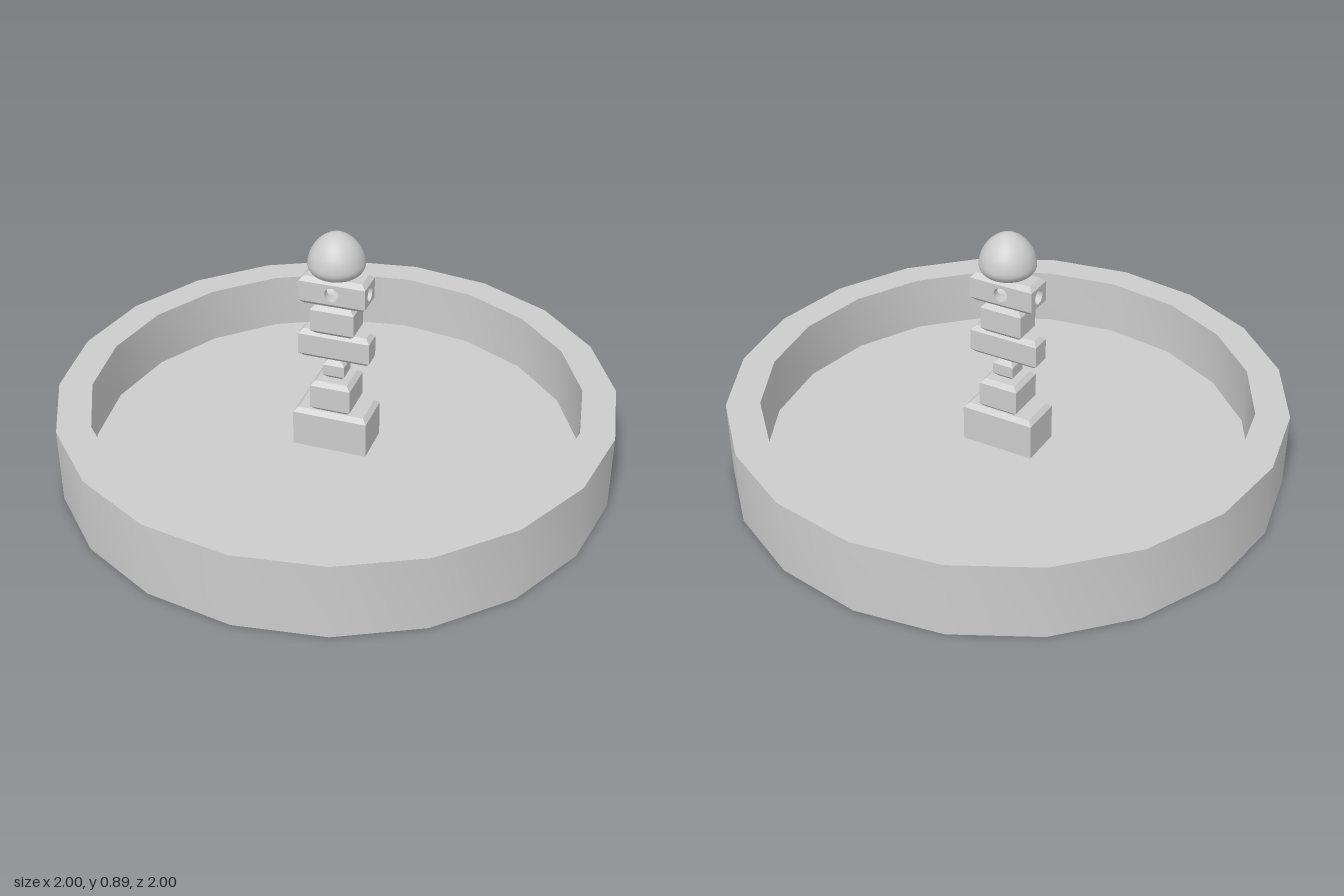
import * as THREE from 'three';
import { toCreasedNormals } from 'three/addons/utils/BufferGeometryUtils.js';

const material = new THREE.MeshStandardMaterial({ color: 0xcccccc });
const BEVEL = 0.016;

function addMesh(parent, name, geometry) {
  const mesh = new THREE.Mesh(geometry, material);
  mesh.name = name;
  parent.add(mesh);
  return mesh;
}

function rectangle(hw, hh) {
  return new THREE.Shape([[-hw, -hh], [hw, -hh], [hw, hh], [-hw, hh]].map(([x, y]) => new THREE.Vector2(x, y)));
}

// Block with chamfered top and bottom rims and sharp vertical edges
function blockGeometry(hx, hz, y0, y1) {
  const geometry = new THREE.ExtrudeGeometry(rectangle(hx, hz), {
    depth: y1 - y0 - 2 * BEVEL, bevelSegments: 1,
    bevelThickness: BEVEL, bevelSize: BEVEL, bevelOffset: -BEVEL,
  });
  return geometry.translate(0, 0, BEVEL).rotateX(-Math.PI / 2).translate(0, y0, 0);
}

// Keep only the caps and chamfers of a block
function withoutWalls(geometry) {
  const pos = geometry.attributes.position, nor = geometry.attributes.normal;
  const kept = [];
  for (let i = 0; i < pos.count; i += 3) {
    if (Math.abs(nor.getY(i)) < 0.1) continue;
    for (let j = i; j < i + 3; j++) kept.push(pos.getX(j), pos.getY(j), pos.getZ(j));
  }
  const result = new THREE.BufferGeometry();
  result.setAttribute('position', new THREE.Float32BufferAttribute(kept, 3));
  result.computeVertexNormals();
  return result;
}

// Half of a bore along +z, trimmed where it meets the crossing bore
function boreGeometry(radius, reach) {
  const geometry = new THREE.CylinderGeometry(radius, radius, 1, 32, 1, true).rotateX(Math.PI / 2);
  const pos = geometry.attributes.position;
  for (let i = 0; i < pos.count; i++) {
    pos.setZ(i, pos.getZ(i) > 0 ? reach : Math.abs(pos.getX(i)));
  }
  // Turn the wall inward
  const index = geometry.index.array;
  for (let i = 0; i < index.length; i += 3) [index[i], index[i + 1]] = [index[i + 1], index[i]];
  const nor = geometry.attributes.normal;
  for (let i = 0; i < nor.count; i++) nor.setXYZ(i, -nor.getX(i), -nor.getY(i), -nor.getZ(i));
  return geometry;
}

// Spout block with two bores crossing at its centre
function createSpout(hx, hz, y0, y1, radius) {
  const spout = new THREE.Group();
  spout.name = 'spoutBlock';
  addMesh(spout, 'spoutCaps', withoutWalls(blockGeometry(hx, hz, y0, y1)));
  for (let i = 0; i < 4; i++) {
    const [width, reach] = i % 2 ? [hz, hx] : [hx, hz];
    const side = new THREE.Group();
    side.name = 'spoutSide';
    side.position.y = (y0 + y1) / 2;
    side.rotation.y = i * Math.PI / 2;
    const face = rectangle(width, (y1 - y0) / 2 - BEVEL);
    face.holes.push(new THREE.Path().absarc(0, 0, radius, 0, Math.PI * 2, true));
    addMesh(side, 'spoutFace', new THREE.ShapeGeometry(face, 16).translate(0, 0, reach));
    addMesh(side, 'spoutBore', boreGeometry(radius, reach));
    spout.add(side);
  }
  return spout;
}

export function createModel() {
  const model = new THREE.Group();
  model.name = 'fountain';

  // Twenty-sided basin with a flat floor
  const basin = [[0, 0], [1, 0], [1, 0.277], [0.88, 0.277], [0.88, 0.06], [0, 0.06]]
    .map(([r, y]) => new THREE.Vector2(r, y));
  addMesh(model, 'basin', toCreasedNormals(new THREE.LatheGeometry(basin, 20), 0.4));

  // Stacked column: name, half width, half depth, bottom, top
  const blocks = [
    ['plinth', 0.138, 0.081, 0.044, 0.21],
    ['lowerBlock', 0.074, 0.074, 0.21, 0.33],
    ['neckBlock', 0.04, 0.036, 0.33, 0.403],
    ['wideBlock', 0.132, 0.036, 0.403, 0.513],
    ['upperBlock', 0.08, 0.053, 0.513, 0.626],
  ];
  for (const [name, hx, hz, y0, y1] of blocks) addMesh(model, name, blockGeometry(hx, hz, y0, y1));
  model.add(createSpout(0.121, 0.053, 0.626, 0.733, 0.026));

  // Rounded, slightly pointed cap
  const cap = new THREE.SplineCurve([
    [0, 0.732], [0.05, 0.735], [0.081, 0.746], [0.097, 0.765], [0.1, 0.786],
    [0.091, 0.822], [0.069, 0.857], [0.04, 0.881], [0.015, 0.892], [0, 0.893],
  ].map(([r, y]) => new THREE.Vector2(r, y)));
  const profile = cap.getPoints(28);
  profile.forEach((p) => { p.x = Math.max(p.x, 0); });
  addMesh(model, 'cap', new THREE.LatheGeometry(profile, 32));

  return model;
}
